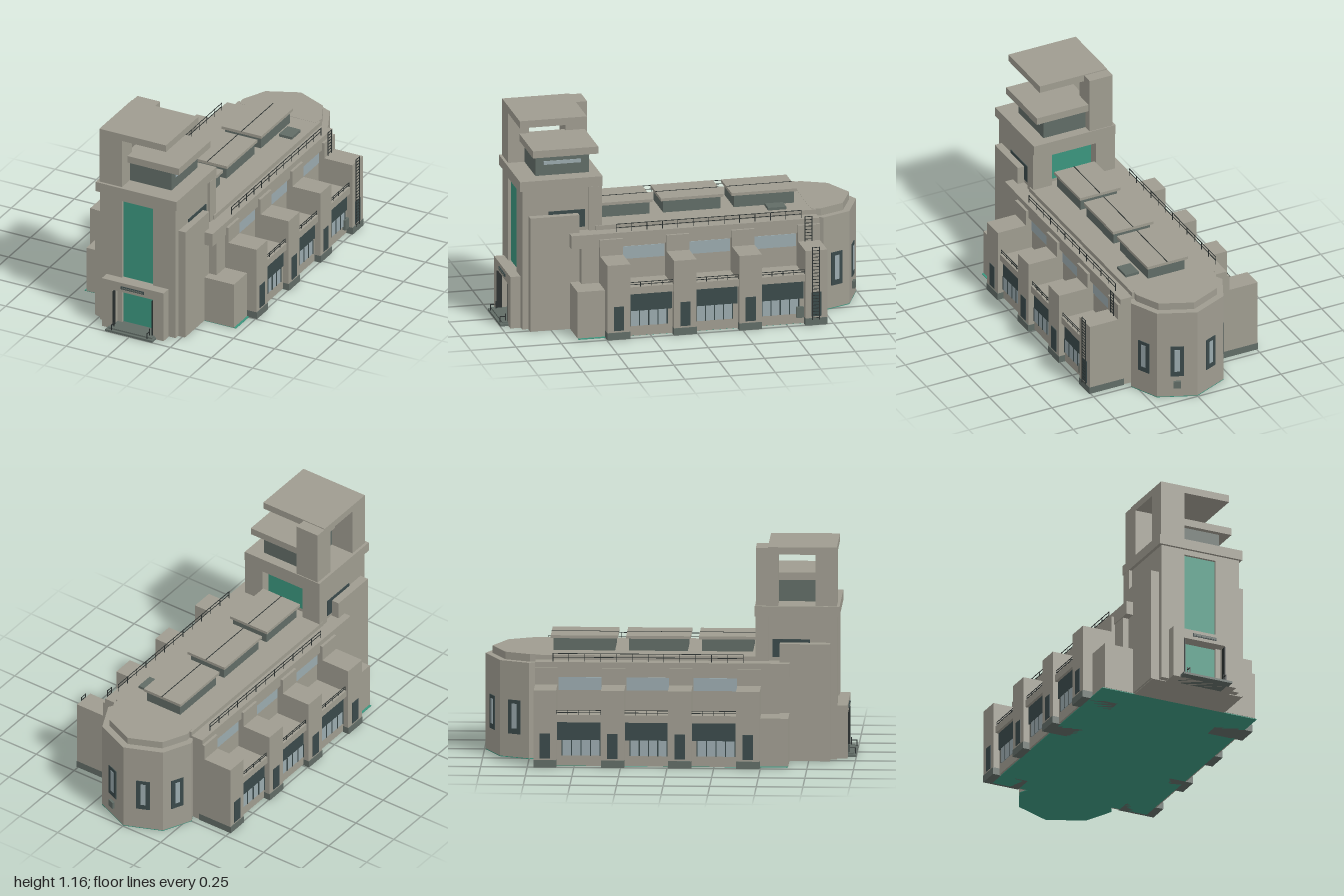
import * as THREE from 'three';

const mat = (name, color, side = THREE.FrontSide) => {
  const m = new THREE.MeshStandardMaterial({ color, side });
  m.name = name;
  return m;
};

export function createModel() {
  const root = new THREE.Group();
  root.name = 'building';
  const stone = mat('concrete', 0x9f9c90);
  const green = mat('green panel', 0x3b967e);
  const slate = mat('slate', 0x616c66);
  const dark = mat('dark frame', 0x3a494a);
  const glass = mat('pale glass', 0x9aaaae);
  const black = mat('rail metal', 0x2a302f);

  // Box given by its limits on each axis
  const box = (name, m, x0, x1, y0, y1, z0, z1, parent = root) => {
    const mesh = new THREE.Mesh(new THREE.BoxGeometry(Math.abs(x1 - x0), y1 - y0, z1 - z0), m);
    mesh.position.set((x0 + x1) / 2, (y0 + y1) / 2, (z0 + z1) / 2);
    mesh.name = name;
    parent.add(mesh);
    return mesh;
  };
  // The same box on both sides of the building
  const pair = (name, m, x0, x1, ...rest) => {
    for (const s of [1, -1]) box(name, m, s * x0, s * x1, ...rest);
  };
  // Upright prism over an outline of [x, z] points
  const prism = (name, m, pts, y0, y1) => {
    const shape = new THREE.Shape(pts.map(([x, z]) => new THREE.Vector2(x, -z)));
    const geo = new THREE.ExtrudeGeometry(shape, { depth: y1 - y0, bevelEnabled: false });
    geo.rotateX(-Math.PI / 2);
    const mesh = new THREE.Mesh(geo, m);
    mesh.position.y = y0;
    mesh.name = name;
    root.add(mesh);
  };
  // Railing along z with posts and two rails
  const railing = (name, x, y, h, z0, z1, posts) => {
    const g = new THREE.Group();
    g.name = name;
    root.add(g);
    const r = 0.0015;
    for (const t of [0.55, 1]) box('rail', black, x - r, x + r, y + h * t - 2 * r, y + h * t, z0, z1, g);
    for (let i = 0; i <= posts; i++) {
      const z = z0 + ((z1 - z0) * i) / posts;
      box('post', black, x - r, x + r, y, y + h, z - r, z + r, g);
    }
  };

  // Main hall
  box('hall', stone, -0.3, 0.3, 0.004, 0.54, -0.715, 0.595);
  box('hallRoof', stone, -0.25, 0.25, 0.54, 0.565, -0.715, 0.5);
  pair('hallCornice', stone, 0.25, 0.32, 0.465, 0.54, -0.715, 0.65);
  for (const s of [1, -1]) railing('roofRailing', s * 0.302, 0.54, 0.045, -0.62, 0.4, 12);

  // Side wings, lower storey
  pair('wing', stone, 0.3, 0.47, 0.004, 0.275, -0.7, 0.49);
  pair('frontWing', stone, 0.23, 0.448, 0.004, 0.265, 0.49, 0.648);
  pair('frontWingUpper', stone, 0.23, 0.315, 0.265, 0.465, 0.49, 0.595);

  // Buttress blocks, stepped in towards the hall
  const fins = [[-0.715, -0.595], [-0.355, -0.23], [0.005, 0.13], [0.37, 0.497]];
  for (const [z0, z1] of fins) {
    pair('buttress', stone, 0.3, 0.505, 0.04, 0.42, z0, z1);
    pair('buttressTop', stone, 0.3, 0.335, 0.42, 0.51, z0, z1);
    pair('buttressPlinth', slate, 0.3, 0.508, 0, 0.04, z0, z1);
    const zc = (z0 + z1) / 2;
    pair('buttressWindow', dark, 0.504, 0.508, 0.05, 0.185, zc - 0.028, zc + 0.028);
  }

  // Window bays between the buttresses
  for (let i = 0; i < 3; i++) {
    const a = fins[i][1], b = fins[i + 1][0];
    const w = b - a;
    pair('balconySlab', stone, 0.46, 0.492, 0.245, 0.285, a, b);
    pair('upperPane', dark, 0.468, 0.476, 0.145, 0.245, a + 0.004, b - 0.004);
    pair('lowerPane', glass, 0.468, 0.474, 0.06, 0.145, a + 0.03, b - 0.004);
    for (let k = 0; k <= 4; k++) {
      const z = a + 0.03 + ((w - 0.036) * k) / 4;
      pair('mullion', dark, 0.472, 0.477, 0.06, 0.145, z - 0.003, z + 0.003);
    }
    pair('clerestory', glass, 0.299, 0.304, 0.385, 0.455, a + 0.004, b - 0.004);
    for (const s of [1, -1]) railing('balconyRailing', s * 0.485, 0.283, 0.028, a, b, 4);
  }
  box('serviceBox', slate, 0.47, 0.488, 0.04, 0.1, -0.59, -0.55);

  // Skylights
  for (const [z0, z1] of [[-0.64, -0.28], [-0.235, 0.11], [0.155, 0.46]]) {
    box('skylightSides', slate, -0.11, 0.11, 0.565, 0.635, z0 + 0.015, z1 - 0.015);
    box('skylightLid', stone, -0.123, 0.12, 0.632, 0.648, z0, z1);
    box('skylightRidge', black, -0.002, 0.002, 0.647, 0.65, z0, z1);
  }
  box('roofHatch', slate, 0.13, 0.21, 0.56, 0.58, -0.56, -0.46);

  // Faceted rear end with a set-in cap
  const half = [[0.25, -0.7], [0.275, -0.75], [0.2, -0.91]];
  const mirror = half.map(([x, z]) => [-x, z]).reverse();
  const apse = [...half, [0, -0.995], ...mirror];
  prism('rearEnd', stone, apse, 0.004, 0.525);
  const capHalf = [[0.235, -0.69], [0.24, -0.745], [0.175, -0.88]];
  prism('rearCap', stone, [...capHalf, [0, -0.957], ...capHalf.map(([x, z]) => [-x, z]).reverse()], 0.52, 0.566);
  for (let i = 1; i < 5; i++) {
    const [ax, az] = apse[i], [bx, bz] = apse[i + 1];
    const g = new THREE.Group();
    g.name = 'rearWindow';
    g.position.set((ax + bx) / 2, 0, (az + bz) / 2);
    g.rotation.y = Math.atan2(g.position.x, g.position.z + 0.72);
    const dx = bx - ax, dz = bz - az;
    g.rotation.y = Math.atan2(-dz, dx);
    if (Math.cos(g.rotation.y) * g.position.z + Math.sin(g.rotation.y) * g.position.x < 0) g.rotation.y += Math.PI;
    box('windowFrame', dark, -0.037, 0.037, 0.13, 0.315, -0.004, 0.004, g);
    box('windowPane', glass, -0.014, 0.014, 0.16, 0.295, -0.004, 0.006, g);
    if (i === 2) box('wallLamp', slate, -0.02, 0.02, 0.06, 0.1, 0, 0.015, g);
    root.add(g);
  }

  // Service ladders on the rear right buttress
  const ladder = (x, y0, y1) => {
    for (const z of [-0.67, -0.632]) box('ladderRail', black, x, x + 0.004, y0, y1, z - 0.002, z + 0.002);
    for (let y = y0 + 0.01; y < y1; y += 0.018) box('ladderRung', black, x, x + 0.003, y, y + 0.003, -0.67, -0.632);
  };
  ladder(0.507, 0.03, 0.44);
  ladder(0.336, 0.42, 0.56);

  // Tower shaft with a tall green panel in front
  box('towerCore', stone, -0.232, 0.228, 0.004, 0.785, 0.53, 0.88);
  box('towerFrontLeft', stone, 0.09, 0.228, 0.004, 0.785, 0.88, 0.9);
  box('towerFrontRight', stone, -0.232, -0.097, 0.004, 0.785, 0.88, 0.9);
  box('towerFrontHead', stone, -0.097, 0.09, 0.755, 0.785, 0.88, 0.9);
  box('towerFrontPanel', green, -0.097, 0.09, 0.005, 0.755, 0.878, 0.885);
  box('towerShoulder', stone, -0.28, 0.27, 0.004, 0.64, 0.595, 0.865);
  // Rear frame of the tower
  box('towerRearPier', stone, 0.13, 0.243, 0.54, 0.785, 0.465, 0.535);
  box('towerRearPier', stone, -0.248, -0.135, 0.54, 0.785, 0.465, 0.535);
  box('towerRearHead', stone, -0.135, 0.13, 0.755, 0.785, 0.465, 0.535);
  box('towerRearPanel', green, -0.135, 0.13, 0.565, 0.755, 0.524, 0.531);
  box('towerSideWindow', dark, -0.236, 0.232, 0.56, 0.658, 0.556, 0.755);
  box('towerCornice', stone, -0.25, 0.242, 0.785, 0.84, 0.46, 0.915);

  // Lookout room and the two roof slabs
  box('lookoutRoom', slate, -0.1, 0.155, 0.84, 0.96, 0.515, 0.81);
  box('lookoutWindow', glass, 0.15, 0.159, 0.9, 0.92, 0.56, 0.765);
  box('lookoutRoof', stone, -0.12, 0.215, 0.96, 1.0, 0.478, 0.838);
  box('frontColumn', stone, -0.235, -0.097, 0.84, 1.15, 0.785, 0.9);
  box('rearColumn', stone, -0.235, -0.097, 0.84, 1.155, 0.465, 0.585);
  box('topSlab', stone, -0.235, 0.17, 1.12, 1.16, 0.53, 0.9);

  // Entrance porch
  box('porchLeft', stone, 0.12, 0.185, 0.004, 0.29, 0.895, 0.955);
  box('porchRight', stone, -0.19, -0.125, 0.004, 0.29, 0.895, 0.955);
  box('porchHead', stone, -0.125, 0.12, 0.235, 0.29, 0.87, 0.955);
  box('porchSlot', dark, -0.073, 0.067, 0.254, 0.27, 0.95, 0.96);
  box('porchSlotInset', slate, -0.066, 0.06, 0.258, 0.266, 0.955, 0.962);
  for (const x of [-0.122, 0.117]) box('doorPost', black, x - 0.003, x + 0.003, 0.02, 0.228, 0.93, 0.958);
  box('porchStep', slate, -0.135, 0.13, 0, 0.02, 0.88, 0.985);
  box('lowerStep', slate, -0.147, 0.14, 0, 0.012, 0.95, 1.0);
  for (const x of [-0.11, 0.105]) {
    box('stepRailPost', black, x - 0.002, x + 0.002, 0.01, 0.06, 0.962, 0.966);
    box('stepRailPost', black, x - 0.002, x + 0.002, 0.01, 0.045, 0.992, 0.996);
    box('stepRail', black, x - 0.002, x + 0.002, 0.042, 0.046, 0.962, 0.996);
  }

  // Underside
  box('hallFloor', green, -0.46, 0.46, 0, 0.004, -0.7, 0.645);
  prism('rearFloor', green, apse, 0, 0.004);
  box('towerFloor', stone, -0.27, 0.265, 0, 0.004, 0.645, 0.865);
  box('porchFloor', stone, -0.19, 0.185, 0, 0.004, 0.865, 0.955);
  return root;
}
